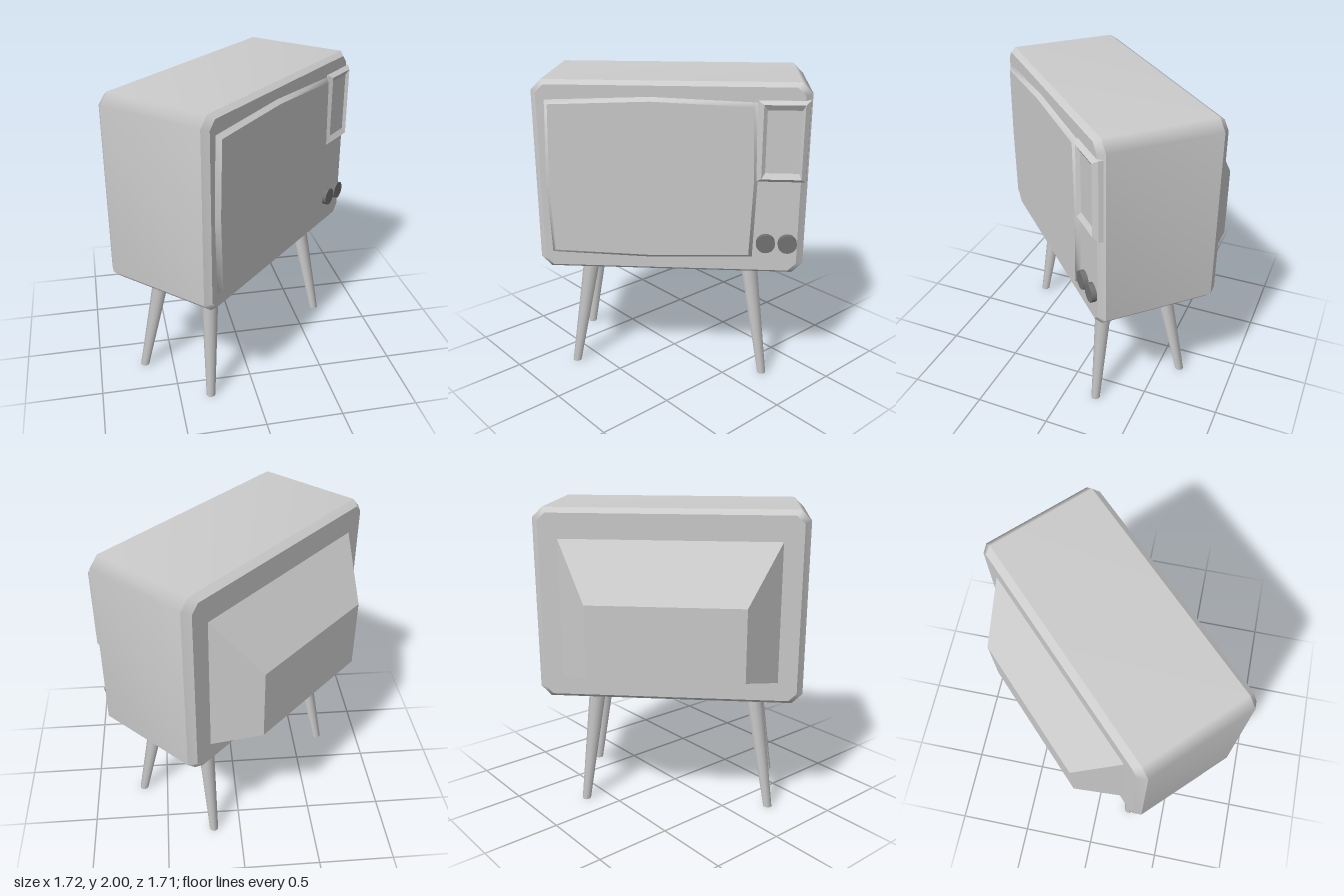
import * as THREE from 'three';
import { mergeGeometries } from 'three/addons/utils/BufferGeometryUtils.js';

const grey = new THREE.MeshStandardMaterial({ color: 0xcccccc });
const dark = new THREE.MeshStandardMaterial({ color: 0x737373 });

// Rectangle with cut corners, counter-clockwise seen from the front
function cutRect(x0, x1, y0, y1, c, z) {
  return [[x1, y0 + c], [x1, y1 - c], [x1 - c, y1], [x0 + c, y1],
    [x0, y1 - c], [x0, y0 + c], [x0 + c, y0], [x1 - c, y0]].map(([x, y]) => [x, y, z]);
}

function rect(x0, x1, y0, y1, z) {
  return [[x1, y0, z], [x1, y1, z], [x0, y1, z], [x0, y0, z]];
}

// Joins rings from back to front; every strip keeps its own normals
function loft(rings, { flat = false, back = false, front = false } = {}) {
  const parts = [];
  const add = (points, index) => {
    let g = new THREE.BufferGeometry();
    g.setAttribute('position', new THREE.Float32BufferAttribute(points.flat(), 3));
    g.setIndex(index);
    if (!flat) g.computeVertexNormals();
    g = g.toNonIndexed();
    if (flat) g.computeVertexNormals();
    parts.push(g);
  };
  const n = rings[0].length;
  for (let r = 0; r + 1 < rings.length; r++) {
    const index = [];
    for (let i = 0; i < n; i++) {
      const j = (i + 1) % n;
      index.push(i, j, n + j, i, n + j, n + i);
    }
    add([...rings[r], ...rings[r + 1]], index);
  }
  const fan = [];
  for (let i = 1; i + 1 < n; i++) fan.push([0, i, i + 1]);
  if (back) add(rings[0], fan.flatMap(([a, b, c]) => [a, c, b]));
  if (front) add(rings[rings.length - 1], fan.flat());
  return mergeGeometries(parts);
}

export function createModel() {
  const model = new THREE.Group();
  model.name = 'television';
  const add = (name, geometry, material = grey) => {
    const mesh = new THREE.Mesh(geometry, material);
    mesh.name = name;
    model.add(mesh);
    return mesh;
  };

  // Cabinet with bevelled front and back rims
  add('cabinet', loft([
    cutRect(-0.81, 0.81, 0.8, 1.97, 0.05, -0.41),
    cutRect(-0.85, 0.85, 0.77, 2, 0.065, -0.365),
    cutRect(-0.85, 0.85, 0.77, 2, 0.065, 0.342),
    cutRect(-0.815, 0.805, 0.795, 1.975, 0.05, 0.378),
  ], { back: true, front: true }));

  // Tapered tube housing on the back
  add('backHousing', loft([
    rect(-0.485, 0.485, 1.0, 1.46, -0.658),
    rect(-0.69, 0.69, 0.92, 1.815, -0.408),
  ], { flat: true, back: true }));

  // Screen with slightly bowed edges
  const screenRing = (grow, z) => [
    [0.5, 0.91, 0], [0.517, 1.385, 0], [0.5, 1.86, 0], [-0.12, 1.885, 0],
    [-0.74, 1.86, 0], [-0.757, 1.385, 0], [-0.74, 0.91, 0], [-0.12, 0.89, 0],
  ].map(([x, y]) => [x + Math.sign(x + 0.12) * grow, y + Math.sign(y - 1.385) * grow, z])
    .map((p, i) => (i === 3 || i === 7 ? [-0.12, p[1], z] : p));
  add('screen', loft([screenRing(0.025, 0.376), screenRing(0, 0.405)], { front: true }));

  // Raised frame around the control panel
  add('panelFrame', loft([
    rect(0.52, 0.84, 1.39, 1.9, 0.352),
    rect(0.525, 0.835, 1.393, 1.897, 0.38),
    rect(0.56, 0.805, 1.415, 1.875, 0.407),
    rect(0.583, 0.79, 1.45, 1.84, 0.387),
  ], { flat: true, front: true }));

  // Knobs
  for (const x of [0.605, 0.742]) {
    const knob = add('knob', new THREE.CylinderGeometry(0.06, 0.06, 0.04, 20), dark);
    knob.rotation.x = Math.PI / 2;
    knob.position.set(x, 0.987, 0.392);
  }

  // Splayed tapered legs: top x, z and foot x, z
  const legs = [
    ['frontRightLeg', -0.544, 0.165, -0.67, 0.25],
    ['backRightLeg', -0.544, -0.205, -0.66, -0.322],
    ['frontLeftLeg', 0.51, 0.21, 0.622, 0.325],
    ['backLeftLeg', 0.506, -0.19, 0.585, -0.327],
  ];
  const height = 0.78;
  for (const [name, tx, tz, fx, fz] of legs) {
    const g = new THREE.CylinderGeometry(0.057, 0.029, height, 10).translate(0, height / 2, 0);
    const p = g.attributes.position;
    for (let i = 0; i < p.count; i++) {
      const t = p.getY(i) / height;
      p.setX(i, p.getX(i) + fx + (tx - fx) * t);
      p.setZ(i, p.getZ(i) + fz + (tz - fz) * t);
    }
    add(name, g);
  }

  // The set stands turned by an eighth of a turn
  model.rotation.y = Math.PI / 4;
  return model;
}
